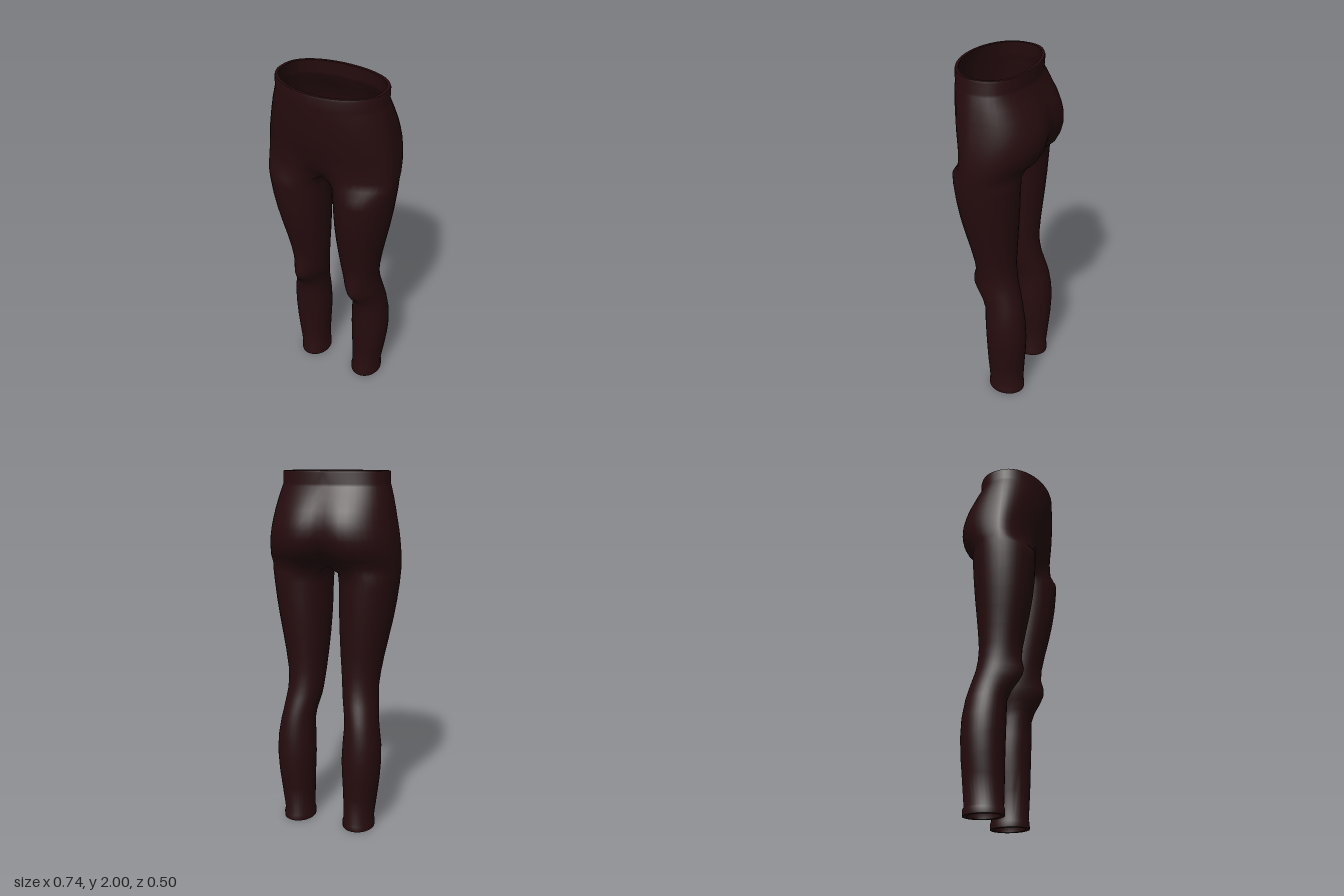
import * as THREE from 'three';
import { mergeVertices, toCreasedNormals } from 'three/addons/utils/BufferGeometryUtils.js';

const OUTER = 26; // steps round the outside of a leg, front seam to back seam
const INNER = 8;  // steps round the inside of the thigh
const COUNT = OUTER + INNER;
const GAP = 0.87; // half angle taken by the inner thigh

// Leg sections: y, inner x, outer x, front z, back z, kneecap bulge
const LEG = [
  [0, 0.095, 0.276, 0.045, -0.172, 0],
  [0.032, 0.095, 0.276, 0.045, -0.172, 0],
  [0.045, 0.1, 0.27, 0.04, -0.165, 0],
  [0.2, 0.097, 0.291, 0.046, -0.175, 0],
  [0.3, 0.092, 0.304, 0.048, -0.182, 0],
  [0.4, 0.088, 0.311, 0.051, -0.185, 0],
  [0.5, 0.092, 0.309, 0.055, -0.181, 0],
  [0.6, 0.098, 0.294, 0.058, -0.166, 0],
  [0.65, 0.094, 0.285, 0.068, -0.155, 0.015],
  [0.7, 0.083, 0.279, 0.087, -0.141, 0.036],
  [0.735, 0.075, 0.275, 0.1, -0.131, 0.042],
  [0.77, 0.069, 0.271, 0.107, -0.121, 0.039],
  [0.83, 0.062, 0.268, 0.118, -0.111, 0.013],
  [0.9, 0.055, 0.274, 0.134, -0.106, 0],
  [1.0, 0.046, 0.29, 0.156, -0.111, 0],
  [1.1, 0.039, 0.31, 0.18, -0.118, 0],
  [1.2, 0.034, 0.33, 0.2, -0.125, 0],
  [1.3, 0.031, 0.347, 0.214, -0.131, 0],
  [1.4, 0.03, 0.36, 0.222, -0.135, 0],
  [1.46, 0.024, 0.366, 0.223, -0.138, 0],
];

// Hip sections: y, outer x, front z, back z, dip at front seam, dip at back seam
const HIPS = [
  [1.5, 0.368, 0.223, -0.168, 0.075, 0.085],
  [1.545, 0.368, 0.222, -0.218, 0.035, 0.065],
  [1.6, 0.365, 0.22, -0.246, 0.012, 0.045],
  [1.65, 0.359, 0.227, -0.259, 0.003, 0.036],
  [1.7, 0.351, 0.236, -0.259, 0, 0.032],
  [1.75, 0.341, 0.244, -0.247, 0, 0.026],
  [1.8, 0.331, 0.25, -0.225, 0, 0.02],
  [1.86, 0.318, 0.255, -0.187, 0, 0.01],
  [1.92, 0.302, 0.257, -0.146, 0, 0.002],
  [1.935, 0.297, 0.257, -0.141, 0, 0],
  [1.99, 0.297, 0.257, -0.145, 0, 0],
  [2.0, 0.294, 0.254, -0.142, 0, 0],
];

// Closed ring round one leg, inset by the cloth thickness t
function legRing([y, xi, xo, zf, zb, knee], t) {
  const cx = (xi + xo) / 2, cz = (zf + zb) / 2;
  const w = (xo - xi) / 2 - t, d = (zf - zb) / 2 - t;
  const ring = [];
  for (let j = 0; j < COUNT; j++) {
    const a = j <= OUTER
      ? -GAP + (j / OUTER) * (Math.PI + 2 * GAP)
      : Math.PI + GAP + ((j - OUTER) / INNER) * (Math.PI - 2 * GAP);
    const bump = knee * Math.exp(-((a / 0.6) ** 2));
    ring.push([cx + w * Math.sin(a), y, cz + d * Math.cos(a) + bump]);
  }
  return ring;
}

// Half ring round the hips from front seam to back seam; the crotch closes it along x = 0
function hipRing([y, xo, zf, zb, dipF, dipB], t, crotch) {
  const cz = 0.055, ring = [];
  for (let j = 0; j <= OUTER; j++) {
    const u = (j / OUTER) * Math.PI, c = Math.cos(u);
    const x = j === 0 || j === OUTER ? 0 : (xo - t) * Math.sin(u);
    const fade = Math.exp(-((x / 0.085) ** 2));
    const z = c > 0
      ? cz + (zf - t - cz) * c ** (1 - 0.1 * crotch) - dipF * fade
      : cz + (zb + t - cz) * Math.abs(c) ** 0.75 + dipB * fade;
    ring.push([x, y, z]);
  }
  if (crotch) {
    const z0 = ring[0][2], z1 = ring[OUTER][2];
    for (let k = 1; k < INNER; k++) ring.push([0, y, z1 + (z0 - z1) * (k / INNER)]);
  }
  return ring;
}

// All rings of one side, from ankle to waist
function shell(t) {
  const legs = LEG.map((row) => legRing(row, t));
  const hips = HIPS.map((row, i) => {
    const lifted = i === 0 ? [row[0] + t * 0.8, ...row.slice(1)] : row;
    return hipRing(lifted, t * 0.7, i === 0 ? 1 : 0);
  });
  return [...legs, ...hips];
}

function buildCloth() {
  // Up the outside, over the waist, down the lining and round the ankle hem
  const rings = [...shell(0), ...shell(0.022).reverse()];
  const positions = [], index = [];
  for (const side of [1, -1]) {
    const starts = rings.map((ring) => {
      const start = positions.length / 3;
      ring.forEach(([x, y, z]) => positions.push(side * x, y, z));
      return start;
    });
    const tri = (a, b, c) => (side > 0 ? index.push(a, b, c) : index.push(a, c, b));
    rings.forEach((ring, i) => {
      const n = (i + 1) % rings.length;
      const closed = ring.length === COUNT && rings[n].length === COUNT;
      for (let j = 0; j < (closed ? COUNT : OUTER); j++) {
        const k = (j + 1) % COUNT;
        const a = starts[i] + j, b = starts[i] + k, c = starts[n] + k, d = starts[n] + j;
        tri(a, b, c);
        tri(a, c, d);
      }
    });
  }
  const geometry = new THREE.BufferGeometry();
  geometry.setAttribute('position', new THREE.Float32BufferAttribute(positions, 3));
  geometry.setIndex(index);
  return toCreasedNormals(mergeVertices(geometry, 1e-4), 0.95);
}

export function createModel() {
  const fabric = new THREE.MeshStandardMaterial({ color: 0x260c0e });
  fabric.name = 'dark maroon fabric';

  const model = new THREE.Group();
  model.name = 'leggings';

  const cloth = new THREE.Mesh(buildCloth(), fabric);
  cloth.name = 'legsAndWaist';
  model.add(cloth);

  // Closed lining inside the left knee
  const lining = new THREE.Mesh(new THREE.CylinderGeometry(1, 1, 0.008, 28), fabric);
  lining.name = 'leftKneeLining';
  lining.scale.set(0.085, 1, 0.1);
  lining.position.set(0.178, 0.72, -0.02);
  model.add(lining);

  return model;
}
